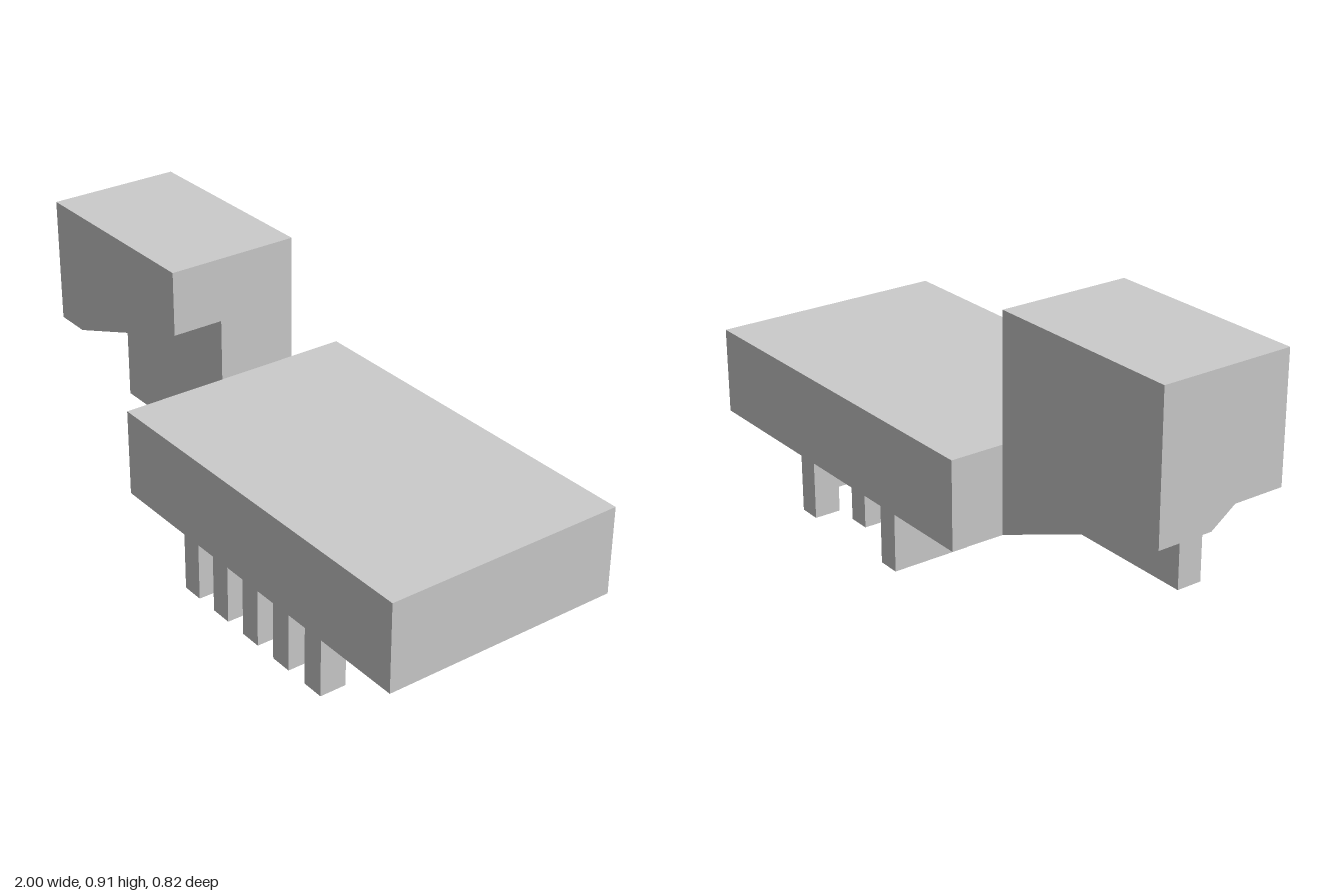
import * as THREE from 'three';

const material = new THREE.MeshStandardMaterial({ color: 0xcccccc, flatShading: true });

function addMesh(parent, name, geometry) {
  const mesh = new THREE.Mesh(geometry, material);
  mesh.name = name;
  parent.add(mesh);
  return mesh;
}

// Box given by its limits on each axis
function addBox(parent, name, [x0, x1], [y0, y1], [z0, z1]) {
  const geometry = new THREE.BoxGeometry(x1 - x0, y1 - y0, z1 - z0);
  geometry.translate((x0 + x1) / 2, (y0 + y1) / 2, (z0 + z1) / 2);
  return addMesh(parent, name, geometry);
}

// Outline in the drawing plane, extruded from one depth to another
function slab(points, from, to) {
  const shape = new THREE.Shape(points.map(([x, y]) => new THREE.Vector2(x, y)));
  const geometry = new THREE.ExtrudeGeometry(shape, { depth: to - from, bevelEnabled: false });
  return geometry.translate(0, 0, from);
}

export function createModel() {
  const model = new THREE.Group();
  model.name = 'model';

  const base = 0.195, bodyTop = 0.49, top = 0.91;
  const end = -1, step = -0.875, joint = -0.305;
  const zBack = -0.225, zRibBack = -0.035, zRibFront = 0.05, zFront = 0.225;

  addBox(model, 'body', [joint, 1], [base, bodyTop], [-0.408, 0.408]);

  // Raised head: two slabs with sloping undersides around a full-height rib
  const head = new THREE.Group();
  head.name = 'head';
  model.add(head);
  addMesh(head, 'headBack', slab(
    [[end, 0.43], [step, 0.43], [joint, base], [joint, top], [end, top]], zBack, zRibBack));
  addMesh(head, 'headFront', slab(
    [[end, 0.49], [step, 0.49], [joint, 0.697], [joint, top], [end, top]], zRibFront, zFront));
  addBox(head, 'headRib', [step, joint], [base, top], [zRibBack, zRibFront]);

  // Slanted strip joining the two slabs beyond the rib
  const strip = slab(
    [[-zRibFront, 0.49], [-zRibBack, 0.43], [-zRibBack, top], [-zRibFront, top]], end, step);
  addMesh(head, 'headEnd', strip.rotateY(Math.PI / 2));

  // Rows of pegs: each pair is the first and last cell of a nine-cell row, back to front
  const rows = [
    [[0, 2], [4, 5], [7, 8]],
    [[2, 3], [5, 5], [7, 8]],
    [[1, 2], [4, 5], [7, 8]],
    [[0, 0], [3, 4], [6, 8]],
    [[1, 2], [4, 5], [8, 8]],
  ];
  const pegs = new THREE.Group();
  pegs.name = 'pegs';
  model.add(pegs);
  const cell = 0.816 / 9;
  rows.forEach((row, i) => {
    const x = i * 0.154;
    for (const [first, last] of row) {
      addBox(pegs, 'peg', [x, x + 0.076], [0, base],
        [-0.408 + first * cell, -0.408 + (last + 1) * cell]);
    }
  });

  return model;
}
